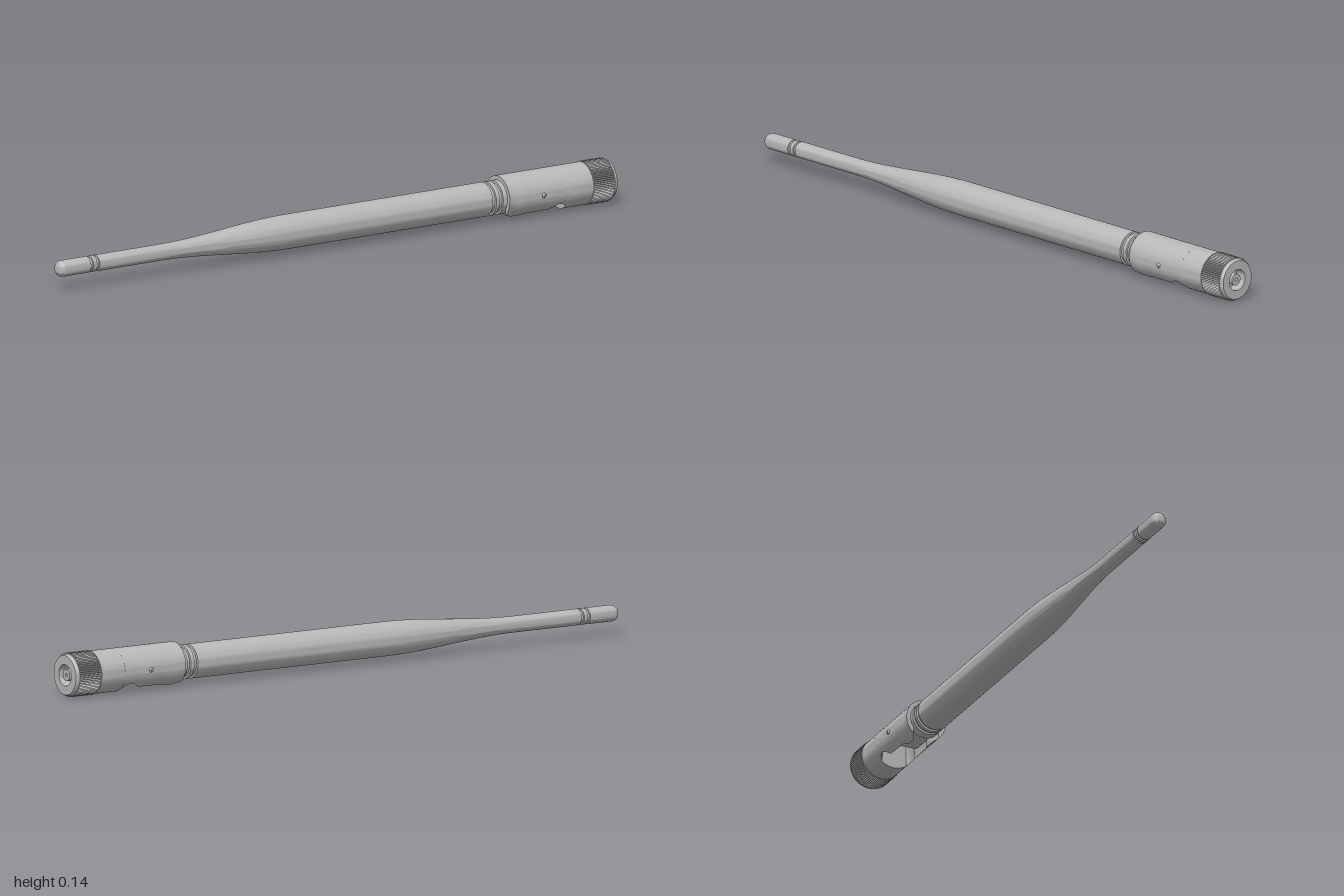
import * as THREE from 'three';
import { toCreasedNormals } from 'three/addons/utils/BufferGeometryUtils.js';

const AXIS = 0.0675; // height of the long axis
const R = 0.0655; // sleeve radius

export function createModel() {
  const group = new THREE.Group();
  const grey = new THREE.MeshStandardMaterial({ color: 0xb8b8b8 });
  grey.name = 'grey';

  const add = (name, geometry, crease = 0.5) => {
    const mesh = new THREE.Mesh(toCreasedNormals(geometry, crease), grey);
    mesh.name = name;
    mesh.position.y = AXIS;
    group.add(mesh);
    return mesh;
  };

  // Turned part: pairs of [x, radius] from the tip end to the connector end
  const turned = (profile, sides = 48) =>
    new THREE.LatheGeometry(profile.map(([x, r]) => new THREE.Vector2(r, x)), sides).rotateZ(-Math.PI / 2);

  // Whip: rounded tip, tip grooves, smooth taper, straight barrel, barrel grooves
  const whip = [];
  for (let i = 0; i <= 6; i++) {
    const a = (i / 6) * Math.PI / 2;
    whip.push([-0.978 - 0.022 * Math.cos(a), 0.003 * Math.sin(a) + 0.022 * Math.sin(a)]);
  }
  const groove = (x, width, r, depth) => whip.push(
    [x, r], [x + 0.001, r - depth], [x + width - 0.001, r - depth], [x + width, r]);
  groove(-0.888, 0.009, 0.025, 0.004);
  groove(-0.866, 0.009, 0.025, 0.004);
  for (let i = 0; i <= 16; i++) {
    const t = i / 16;
    whip.push([-0.62 + 0.46 * t, 0.025 + 0.0275 * t * t * (3 - 2 * t)]);
  }
  groove(0.553, 0.012, 0.0525, 0.006);
  groove(0.578, 0.012, 0.0525, 0.006);
  whip.push([0.62, 0.0525], [0.62, 0]);
  add('whip', turned(whip));

  // Hinge tongue with a round end, sitting in the slot of the fork
  const tongue = new THREE.Shape();
  tongue.moveTo(0.61, -0.033);
  tongue.lineTo(0.73, -0.033);
  tongue.absarc(0.73, 0, 0.033, -Math.PI / 2, Math.PI / 2, false);
  tongue.lineTo(0.61, 0.033);
  add('hingeTongue', new THREE.ExtrudeGeometry(tongue, { depth: 0.064, bevelEnabled: false, curveSegments: 16 })
    .translate(0, 0, -0.032));

  // Fork: round sleeve with a slot underneath, given as [x, half width of slot]
  const slot = [[0.605, 0.042], [0.635, 0.028], [0.66, 0.028], [0.68, 0.038], [0.765, 0.04],
    [0.775, 0.048], [0.785, 0.0525], [0.795, 0.054], [0.805, 0.0525], [0.815, 0.048], [0.825, 0.04]];
  const section = (w) => {
    const points = [];
    const start = Math.asin(w / R);
    for (let i = 0; i <= 48; i++) {
      const t = start + (i / 48) * (2 * Math.PI - 2 * start);
      points.push(new THREE.Vector2(R * Math.sin(t), -R * Math.cos(t)));
    }
    const inner = Math.min(w, 0.04);
    points.push(new THREE.Vector2(-inner, 0.038), new THREE.Vector2(inner, 0.038));
    return points;
  };
  const positions = [];
  const index = [];
  const first = section(slot[0][1]);
  const n = first.length;
  slot.forEach(([x, w], i) => {
    section(w).forEach((p) => positions.push(x, p.y, p.x));
    if (i === slot.length - 1) return;
    for (let j = 0; j < n; j++) {
      const a = i * n + j;
      const b = i * n + (j + 1) % n;
      index.push(a, a + n, b, b, a + n, b + n);
    }
  });
  THREE.ShapeUtils.triangulateShape(first, []).forEach((face) => index.push(...face));
  const fork = new THREE.BufferGeometry();
  fork.setAttribute('position', new THREE.Float32BufferAttribute(positions, 3));
  fork.setIndex(index);
  add('hingeFork', fork);

  // Solid sleeve behind the fork
  add('sleeve', turned([[0.825, 0], [0.825, R], [0.91, R], [0.91, 0.03]]));

  // Hinge pin heads on both sides
  for (const side of [1, -1]) {
    const pin = add(side > 0 ? 'frontPin' : 'backPin',
      new THREE.CylinderGeometry(0.004, 0.013, 0.012, 20).rotateX(side * Math.PI / 2));
    pin.position.set(0.73, AXIS, side * 0.064);
  }

  // Knurled grip ring
  const teeth = 72;
  const knurl = new THREE.Shape();
  for (let i = 0; i < teeth * 2; i++) {
    const a = (i / teeth) * Math.PI;
    const r = i % 2 ? 0.0635 : 0.0675;
    if (i === 0) knurl.moveTo(r, 0);
    else knurl.lineTo(r * Math.cos(a), r * Math.sin(a));
  }
  const bore = new THREE.Path();
  bore.absarc(0, 0, 0.05, 0, Math.PI * 2, true);
  knurl.holes.push(bore);
  add('knurledRing', new THREE.ExtrudeGeometry(knurl, { depth: 0.076, bevelEnabled: false })
    .rotateY(Math.PI / 2).translate(0.912, 0, 0), 0.1);

  // Connector face: rim, ring recess and centre socket
  add('connectorEnd', turned([[0.985, 0.064], [0.994, 0.064], [1, 0.06], [1, 0.033], [0.965, 0.033],
    [0.965, 0.018], [0.995, 0.018], [0.995, 0.005], [0.975, 0.005], [0.975, 0]]));

  return group;
}
